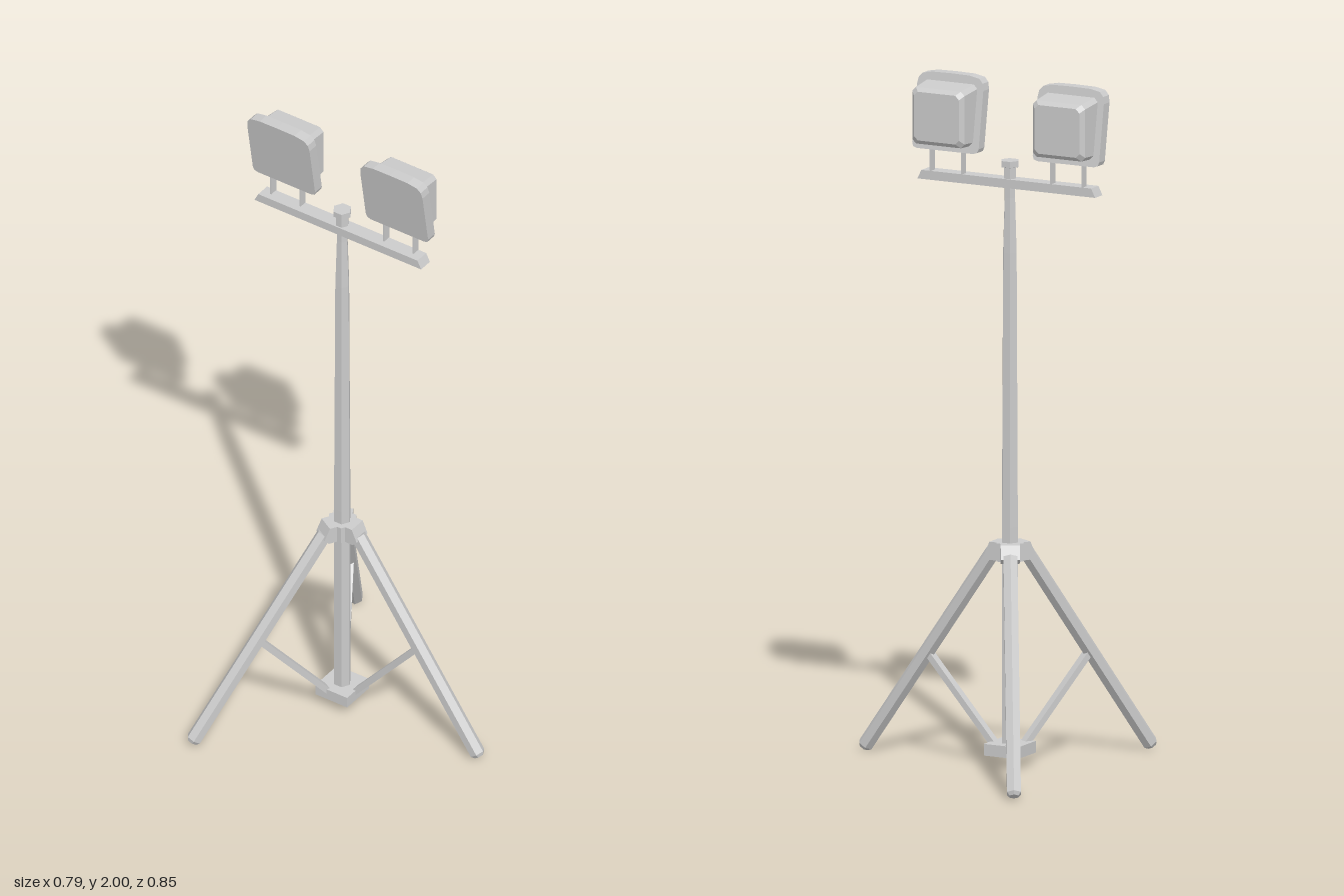
import * as THREE from 'three';

const material = new THREE.MeshStandardMaterial({ color: 0xcccccc, flatShading: true });

function add(parent, name, geometry, x = 0, y = 0, z = 0) {
  const mesh = new THREE.Mesh(geometry, material);
  mesh.name = name;
  mesh.position.set(x, y, z);
  parent.add(mesh);
  return mesh;
}

// six-sided turned part with a corner on the x axis; profile is [radius, y]
function hexLathe(profile) {
  const points = profile.map(([r, y]) => new THREE.Vector2(r, y));
  return new THREE.LatheGeometry(points, 6).rotateY(Math.PI / 6);
}

// flat outline in xy, extruded and centred on z
function slab(points, depth) {
  const shape = new THREE.Shape(points.map(([x, y]) => new THREE.Vector2(x, y)));
  return new THREE.ExtrudeGeometry(shape, { depth, bevelEnabled: false }).translate(0, 0, -depth / 2);
}

// lamp glass and frame: rounded panel whose top leans forward
function panelGeometry() {
  const half = [[0.092, -0.11], [0.104, -0.106], [0.108, -0.095], [0.108, 0.07], [0.104, 0.09],
    [0.092, 0.103], [0.06, 0.109], [0, 0.11]];
  const mirrored = half.slice(0, -1).reverse().map(([x, y]) => [-x, y]);
  const geometry = slab([...half, ...mirrored], 0.034);
  const p = geometry.attributes.position;
  for (let i = 0; i < p.count; i++) p.setZ(i, p.getZ(i) + 0.008 + 0.17 * p.getY(i));
  geometry.computeVertexNormals();
  return geometry;
}

// lamp back: wedge lofted through chamfered rectangles, closed at the rear
function housingGeometry() {
  const rings = [
    { w: 0.088, lo: -0.09, hi: 0.086, z: -0.005, lean: 0.17 },
    { w: 0.085, lo: -0.088, hi: 0.077, z: -0.067, lean: 0 },
    { w: 0.073, lo: -0.076, hi: 0.066, z: -0.079, lean: 0 },
  ];
  const c = 0.012;
  const positions = [];
  const index = [];
  rings.forEach(({ w, lo, hi, z, lean }) => {
    const outline = [[w, lo + c], [w, hi - c], [w - c, hi], [c - w, hi],
      [-w, hi - c], [-w, lo + c], [c - w, lo], [w - c, lo]];
    outline.forEach(([x, y]) => positions.push(x, y, z + lean * y));
  });
  for (let k = 0; k < 2; k++) {
    for (let i = 0; i < 8; i++) {
      const a = k * 8 + i, b = k * 8 + (i + 1) % 8;
      index.push(a, a + 8, b, b, a + 8, b + 8);
    }
  }
  for (let i = 1; i < 7; i++) index.push(16, 16 + i + 1, 16 + i);
  const geometry = new THREE.BufferGeometry();
  geometry.setAttribute('position', new THREE.Float32BufferAttribute(positions, 3));
  geometry.setIndex(index);
  geometry.computeVertexNormals();
  return geometry;
}

function createLamp() {
  const lamp = new THREE.Group();
  lamp.name = 'lamp';
  add(lamp, 'lampPanel', panelGeometry(), 0, 1.89);
  add(lamp, 'lampHousing', housingGeometry(), 0, 1.89);
  for (const side of [-1, 1]) {
    add(lamp, 'lampBracket', new THREE.BoxGeometry(0.004, 0.09, 0.025), side * 0.051, 1.755, -0.011);
  }
  return lamp;
}

// one leg with its hub socket and strut, pointing along +x
function createLeg() {
  const arm = new THREE.Group();
  arm.name = 'tripodLeg';
  add(arm, 'hubSocket', slab([[0, 0.602], [0.055, 0.602], [0.069, 0.616], [0.052, 0.655], [0, 0.655]], 0.055));

  const foot = [0.475, 0.01], top = [0.056, 0.62];
  const length = Math.hypot(foot[0] - top[0], top[1] - foot[1]);
  const leg = add(arm, 'leg',
    hexLathe([[0, 0], [0.015, 0], [0.023, 0.01], [0.023, length], [0, length]]), foot[0], foot[1]);
  leg.rotation.z = Math.atan2(foot[0] - top[0], top[1] - foot[1]);

  const from = [0.04, 0.05], to = [0.262, 0.305];
  const dx = to[0] - from[0], dy = to[1] - from[1];
  const strut = add(arm, 'strut', new THREE.BoxGeometry(Math.hypot(dx, dy), 0.018, 0.026),
    (from[0] + to[0]) / 2, (from[1] + to[1]) / 2);
  strut.rotation.z = Math.atan2(dy, dx);
  return arm;
}

export function createModel() {
  const model = new THREE.Group();
  model.name = 'floodlightStand';
  const stand = new THREE.Group();
  stand.name = 'stand';
  stand.position.x = -0.0965;
  model.add(stand);

  // tripod
  for (let i = 0; i < 3; i++) {
    const leg = createLeg();
    leg.rotation.y = (i * Math.PI * 2) / 3;
    stand.add(leg);
  }
  add(stand, 'hub', hexLathe([[0, 0.602], [0.045, 0.602], [0.045, 0.655], [0, 0.655]]));
  add(stand, 'baseBlock', new THREE.BoxGeometry(0.11, 0.034, 0.11), 0, 0.053);

  // pole with its top cap
  add(stand, 'pole', hexLathe([[0, 0.05], [0.026, 0.05], [0.026, 0.7], [0.022, 1.5], [0.017, 1.66], [0.017, 1.7], [0, 1.7]]));
  add(stand, 'poleCap', hexLathe([[0, 1.7], [0.02, 1.7], [0.02, 1.748], [0.028, 1.75], [0.028, 1.768], [0, 1.768]]));

  // crossbar and lamps
  add(stand, 'crossbar', slab([[-0.289, 1.69], [0.289, 1.69], [0.276, 1.716], [-0.276, 1.716]], 0.044));
  for (const side of [-1, 1]) {
    const lamp = createLamp();
    lamp.position.x = side * 0.196;
    stand.add(lamp);
  }
  return model;
}
